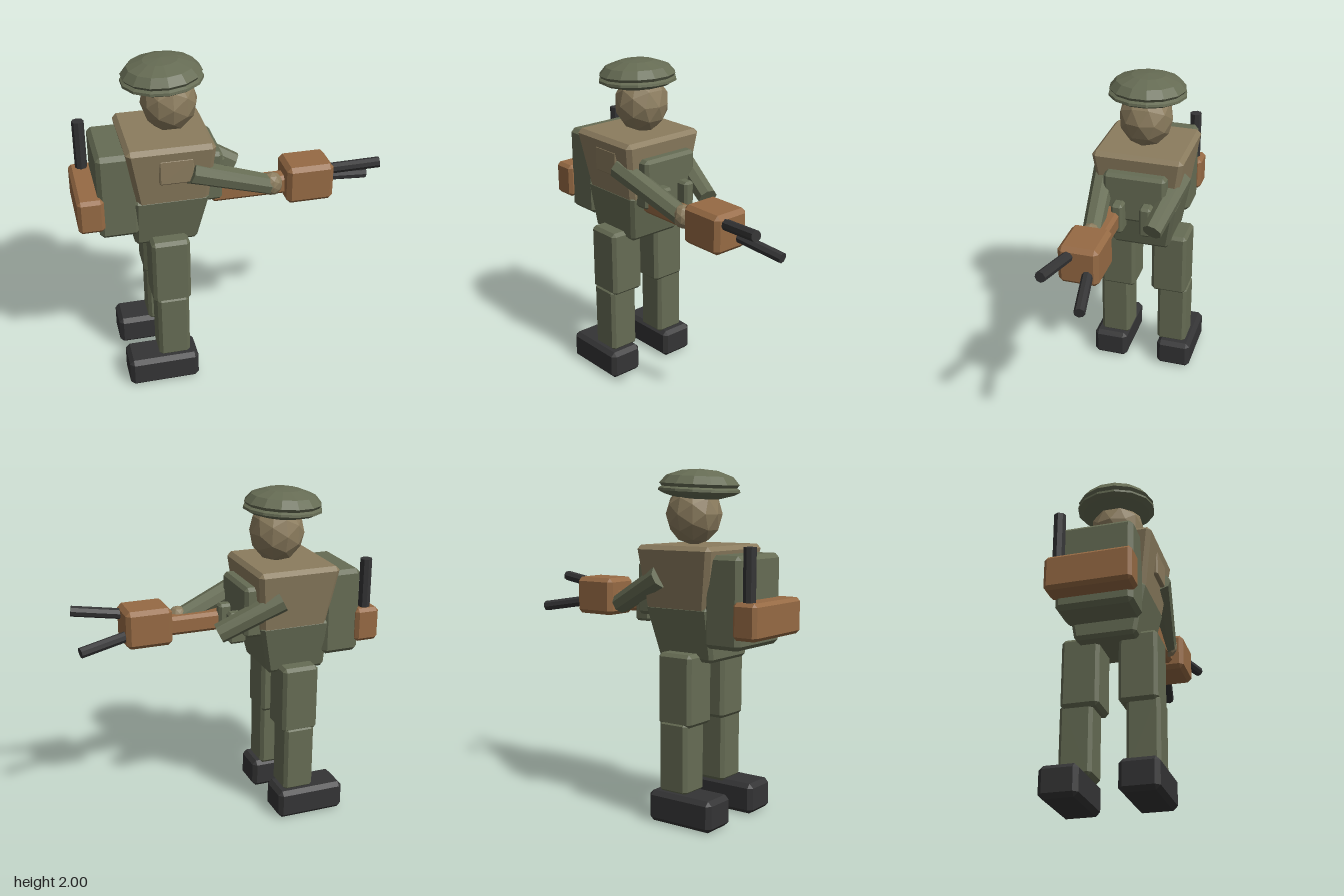
import * as THREE from 'three';
import { ConvexGeometry } from 'three/addons/geometries/ConvexGeometry.js';

const material = (name, color) => {
  const m = new THREE.MeshStandardMaterial({ color, flatShading: true });
  m.name = name;
  return m;
};

export function createModel() {
  const model = new THREE.Group();
  model.name = 'soldier';
  const green = material('olive green', 0x666c54);
  const tan = material('khaki tan', 0x8b7c5e);
  const orange = material('rust orange', 0x966a44);
  const black = material('black', 0x343435);

  const add = (name, geometry, mat) => {
    const mesh = new THREE.Mesh(geometry, mat);
    mesh.name = name;
    model.add(mesh);
    return mesh;
  };

  // Chamfered block; bottom optionally gives a different [x0, x1, z0, z1]
  const block = (name, mat, [x0, x1], [y0, y1], [z0, z1], b = 0.02, bottom = [x0, x1, z0, z1]) => {
    const points = [];
    for (const top of [0, 1]) {
      const [a, c, d, e] = top ? [x0, x1, z0, z1] : bottom;
      const y = top ? y1 : y0, iy = top ? -b : b;
      for (const [x, ix] of [[a, b], [c, -b]]) {
        for (const [z, iz] of [[d, b], [e, -b]]) {
          points.push(
            new THREE.Vector3(x, y + iy, z + iz),
            new THREE.Vector3(x + ix, y, z + iz),
            new THREE.Vector3(x + ix, y + iy, z));
        }
      }
    }
    return add(name, new ConvexGeometry(points), mat);
  };

  // Faceted rod between two points
  const rod = (name, mat, from, to, r0, r1, sides = 8) => {
    const a = new THREE.Vector3(...from), b = new THREE.Vector3(...to);
    const dir = b.clone().sub(a);
    const mesh = add(name, new THREE.CylinderGeometry(r1, r0, dir.length(), sides), mat);
    mesh.position.copy(a).add(b).multiplyScalar(0.5);
    mesh.quaternion.setFromUnitVectors(new THREE.Vector3(0, 1, 0), dir.normalize());
    return mesh;
  };

  // Legs and chest pouches, mirrored
  for (const [side, s] of [['right', 1], ['left', -1]]) {
    const span = (a, b) => (s > 0 ? [a, b] : [-b, -a]);
    block(side + 'Boot', black, [-0.66, -0.235], [0, 0.18], span(0.105, 0.325), 0.025);
    block(side + 'Shin', green, [-0.47, -0.28], [0.17, 0.59], span(0.095, 0.285));
    block(side + 'Thigh', green, [-0.49, -0.265], [0.56, 0.975], span(0.055, 0.277));
    block(side + 'Pouch', green, [-0.085, 0.02], [1.12, 1.31], span(0.05, 0.122), 0.015);
  }

  // Torso
  block('waist', green, [-0.57, -0.14], [0.925, 1.24], [-0.23, 0.23], 0.02, [-0.57, -0.2, -0.18, 0.18]);
  block('chest', tan, [-0.61, -0.105], [1.195, 1.575], [-0.277, 0.277], 0.025, [-0.555, -0.14, -0.228, 0.228]);
  block('vest', green, [-0.2, -0.05], [1.17, 1.475], [-0.19, 0.19]);
  block('sidePocket', tan, [-0.43, -0.235], [1.355, 1.505], [0.2, 0.272], 0.008);

  // Arms and hand
  rod('rightArm', green, [-0.25, 1.405, 0.235], [0.23, 1.22, 0.165], 0.07, 0.06);
  rod('leftArm', green, [-0.26, 1.4, -0.235], [0.1, 1.215, -0.155], 0.068, 0.06);
  const hand = add('rightHand', new THREE.IcosahedronGeometry(0.066, 1), tan);
  hand.position.set(0.245, 1.225, 0.168);
  hand.scale.set(0.95, 1.1, 0.9);

  // Head
  const head = add('head', new THREE.IcosahedronGeometry(0.163, 1), tan);
  head.position.set(-0.318, 1.745, 0);
  head.scale.set(1, 1.1, 1);

  // Beret with a rolled rim, tipped slightly back
  const profile = [[0, -0.045], [0.12, -0.042], [0.2, -0.02], [0.234, -0.002], [0.232, 0.012],
    [0.215, 0.022], [0.229, 0.04], [0.19, 0.085], [0.1, 0.116], [0, 0.124]];
  const beret = add('beret', new THREE.LatheGeometry(
    profile.map(([r, y]) => new THREE.Vector2(r, y)), 14), green);
  beret.position.set(-0.352, 1.875, 0);
  beret.rotation.z = 0.05;

  // Backpack and radio
  block('backpack', green, [-0.77, -0.54], [1.015, 1.53], [-0.225, 0.215], 0.025);
  block('radio', orange, [-0.89, -0.74], [1.08, 1.285], [-0.25, 0.243]);
  rod('antenna', black, [-0.815, 1.25, -0.19], [-0.815, 1.58, -0.19], 0.036, 0.036);

  // Device held in the hands
  block('deviceStock', orange, [-0.115, 0.34], [1.145, 1.26], [0.07, 0.175]);
  block('deviceHead', orange, [0.32, 0.6], [1.11, 1.34], [0.01, 0.245], 0.025);
  rod('upperProng', black, [0.56, 1.283, 0.175], [0.875, 1.32, 0.232], 0.032, 0.032);
  rod('lowerProng', black, [0.56, 1.187, 0.077], [0.875, 1.135, 0.022], 0.032, 0.032);

  return model;
}
